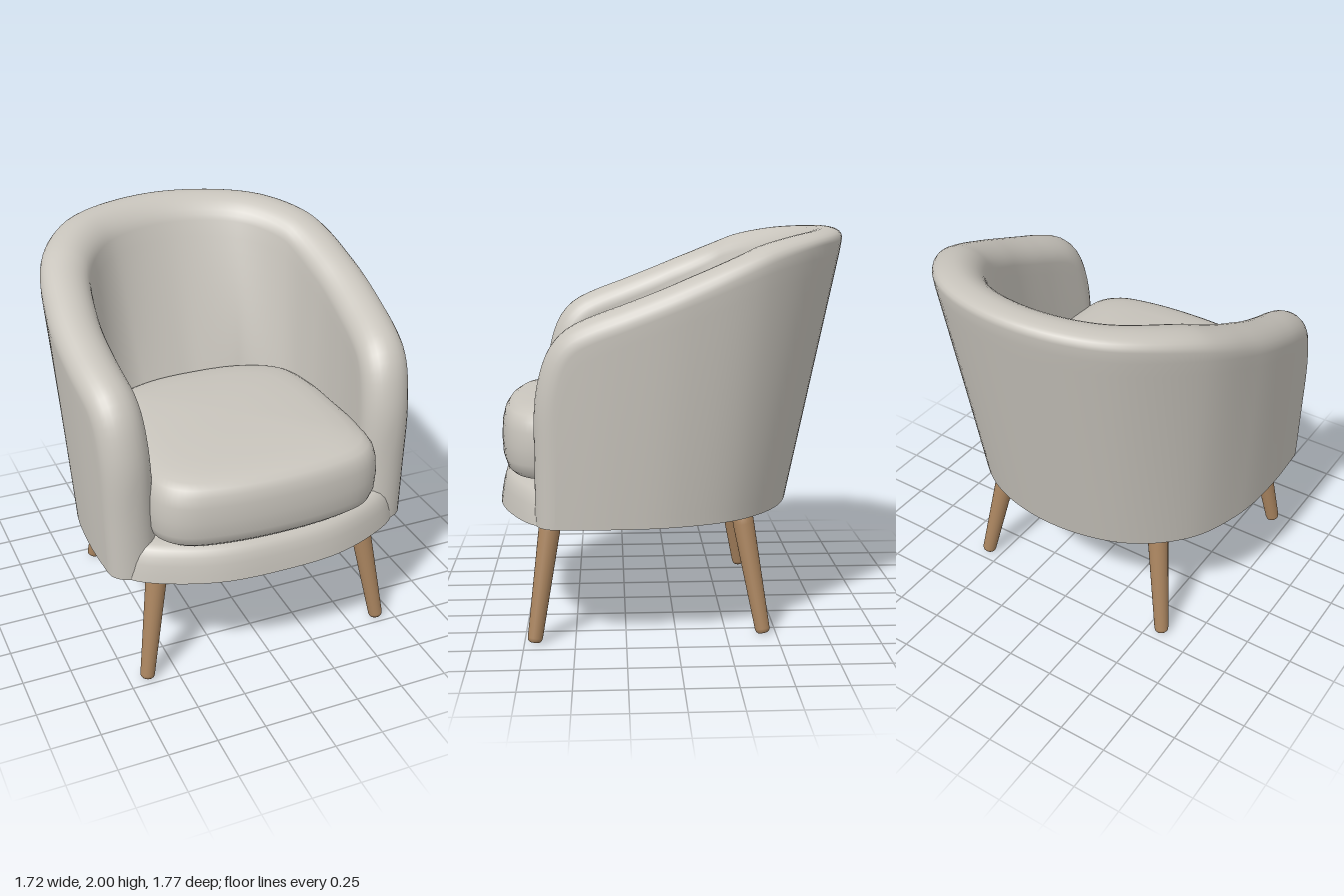
import * as THREE from 'three';
import { mergeVertices } from 'three/addons/utils/BufferGeometryUtils.js';

const FLOOR = 0.61; // underside of the upholstery
const TOP = 2.0;

const fabric = new THREE.MeshStandardMaterial({ color: 0xc8c4bc });
fabric.name = 'warm grey fabric';
const wood = new THREE.MeshStandardMaterial({ color: 0xa9845f });
wood.name = 'light wood';

// Smooth surface from a grid of points at(i, j)
function gridGeometry(nu, nv, at) {
  const pos = [], idx = [];
  for (let i = 0; i <= nu; i++) for (let j = 0; j <= nv; j++) pos.push(...at(i, j));
  for (let i = 0; i < nu; i++) for (let j = 0; j < nv; j++) {
    const a = i * (nv + 1) + j, b = a + nv + 1;
    idx.push(a, b, a + 1, b, b + 1, a + 1);
  }
  let g = new THREE.BufferGeometry();
  g.setAttribute('position', new THREE.Float32BufferAttribute(pos, 3));
  g.setIndex(idx);
  g = mergeVertices(g, 1e-5);
  g.computeVertexNormals();
  return g;
}

function addMesh(parent, geometry, material, name) {
  const m = new THREE.Mesh(geometry, material);
  m.name = name;
  parent.add(m);
  return m;
}

// Curve round the back, from the left arm front to the right one
function planCurve(half) {
  const mirrored = half.slice(0, -1).reverse().map(([x, z]) => [-x, z]);
  return new THREE.CatmullRomCurve3([...half, ...mirrored].map(([x, z]) => new THREE.Vector3(x, 0, z)));
}
const outerLow = planCurve([[0.795, 0.69], [0.81, 0.3], [0.78, 0], [0.66, -0.3], [0.4, -0.52], [0, -0.605]]);
const outerHigh = planCurve([[0.82, 0.69], [0.875, 0.25], [0.87, -0.1], [0.78, -0.45], [0.48, -0.77], [0, -0.89]]);

// Outer wall point at position t along the curve and height y
function outer(t, y) {
  const c = THREE.MathUtils.clamp(t, 0, 1);
  return outerLow.getPoint(c).lerp(outerHigh.getPoint(c), (y - FLOOR) / (TOP - FLOOR));
}

// n = 0 is the outer face, n = 1 the inner face; the back thickens downwards
function wallPoint(t, y, n) {
  const p = outer(t, y);
  const d = outer(t + 0.01, y).sub(outer(t - 0.01, y)).normalize();
  const back = THREE.MathUtils.smoothstep(0.5 - Math.abs(t - 0.5), 0.25, 0.48);
  const thick = n * (0.25 + back * 0.11 * (1.8 - y) / 0.62);
  return [p.x + d.z * thick, y, p.z - d.x * thick];
}

// Wrap-around back and arms with a rounded rim
function shellGeometry() {
  const S = 4.4, R = 0.115, N = 120, SIDE = 16, ARC = 14;
  const half = [[0, 0.61], [0, 0.9], [0, 1.15], [0.005, 1.31], [0.016, 1.45], [0.034, 1.545], [0.06, 1.605],
    [0.1, 1.665], [0.15, 1.73], [0.2, 1.795], [0.25, 1.865], [0.3, 1.925], [0.35, 1.965], [0.4, 1.985], [0.5, 2]];
  const edge = [...half, ...half.slice(0, -1).reverse().map(([t, y]) => [1 - t, y])];
  const rim = new THREE.SplineCurve(edge.map(([t, y]) => new THREE.Vector2(t * S, y)));
  const cols = [];
  for (let i = 0; i <= N; i++) {
    const e = rim.getPointAt(i / N), d = rim.getTangentAt(i / N);
    const core = new THREE.Vector2(e.x + d.y * R, Math.max(FLOOR, e.y - d.x * R));
    const anchor = new THREE.Vector2(THREE.MathUtils.lerp(R, S - R, i / N), FLOOR);
    const back = THREE.MathUtils.smoothstep(0.5 - Math.abs(e.x / S - 0.5), 0.15, 0.4);
    cols.push({ e, core, anchor, back });
  }
  return gridGeometry(N, SIDE * 2 + ARC, (i, j) => {
    const { e, core, anchor, back } = cols[i];
    let p, n;
    if (j < SIDE) {
      p = anchor.clone().lerp(core, j / SIDE);
      n = 0;
    } else if (j <= SIDE + ARC) {
      // the rim's outer corner gets tighter towards the back
      const a = Math.PI * (j - SIDE) / ARC;
      const power = a < Math.PI / 2 ? 1 - 0.6 * back : 1;
      p = core.clone().lerp(e, Math.pow(Math.max(0, Math.sin(a)), power));
      n = (1 - Math.cos(a)) / 2;
    } else {
      p = core.clone().lerp(anchor, (j - SIDE - ARC) / SIDE);
      n = 1;
    }
    return wallPoint(p.x / S, p.y, n);
  });
}

// Stack of scaled copies of one mirrored outline; rings are [y, scale]
function loft(half, rings, centreZ) {
  const inner = half.slice(1, -1).reverse().map(([x, z]) => [-x, z]);
  const curve = new THREE.CatmullRomCurve3(
    [...half, ...inner].map(([x, z]) => new THREE.Vector3(x, 0, z)), true);
  const N = 80;
  return gridGeometry(N, rings.length - 1, (i, j) => {
    const p = curve.getPoint((i % N) / N), [y, s] = rings[j];
    return [p.x * s, y, centreZ + (p.z - centreZ) * s];
  });
}

// Tapered, splayed leg between two points
function addLeg(parent, side, top, foot, name) {
  const a = new THREE.Vector3(top[0] * side, top[1], top[2]);
  const b = new THREE.Vector3(foot[0] * side, foot[1], foot[2]);
  const len = a.distanceTo(b);
  const profile = [[0, 0], [0.026, 0], [0.034, 0.008], [0.037, 0.022], [0.053, len * 0.85], [0.053, len], [0, len]];
  const leg = addMesh(parent,
    new THREE.LatheGeometry(profile.map(([x, y]) => new THREE.Vector2(x, y)), 24), wood, name);
  leg.position.copy(b);
  leg.quaternion.setFromUnitVectors(new THREE.Vector3(0, 1, 0), a.sub(b).normalize());
}

export function createModel() {
  const chair = new THREE.Group();
  chair.name = 'tubArmchair';

  addMesh(chair, shellGeometry(), fabric, 'backAndArms');

  // Seat base with a bowed front rail
  const baseOutline = [[0, 0.89], [0.3, 0.87], [0.54, 0.79], [0.7, 0.695], [0.775, 0.58], [0.8, 0.3],
    [0.77, 0], [0.65, -0.295], [0.39, -0.515], [0, -0.6]];
  addMesh(chair, loft(baseOutline,
    [[FLOOR, 1], [0.65, 0.993], [0.7, 0.982], [0.74, 0.968], [0.77, 0.945], [0.785, 0.915], [0.79, 0.87], [0.79, 0]],
    0.1), fabric, 'seatBase');
  addMesh(chair, loft(baseOutline, [[FLOOR, 0], [FLOOR, 1]], 0.1), fabric, 'underside');

  // Loose cushion with a domed top
  const cushionOutline = [[0, 0.88], [0.3, 0.86], [0.49, 0.81], [0.58, 0.72], [0.61, 0.55], [0.605, 0.25],
    [0.59, 0], [0.52, -0.24], [0.3, -0.36], [0, -0.39]];
  addMesh(chair, loft(cushionOutline,
    [[0.79, 0], [0.79, 0.88], [0.797, 0.93], [0.82, 0.968], [0.87, 0.993], [0.95, 1], [1.03, 0.992], [1.08, 0.972],
      [1.11, 0.94], [1.13, 0.89], [1.147, 0.8], [1.16, 0.66], [1.172, 0.4], [1.178, 0]],
    0.25), fabric, 'seatCushion');

  for (const [side, label] of [[1, 'left'], [-1, 'right']]) {
    addLeg(chair, side, [0.552, 0.64, 0.61], [0.657, 0.004, 0.7], label + 'FrontLeg');
    addLeg(chair, side, [0.472, 0.64, -0.325], [0.58, 0.004, -0.435], label + 'BackLeg');
  }
  return chair;
}
